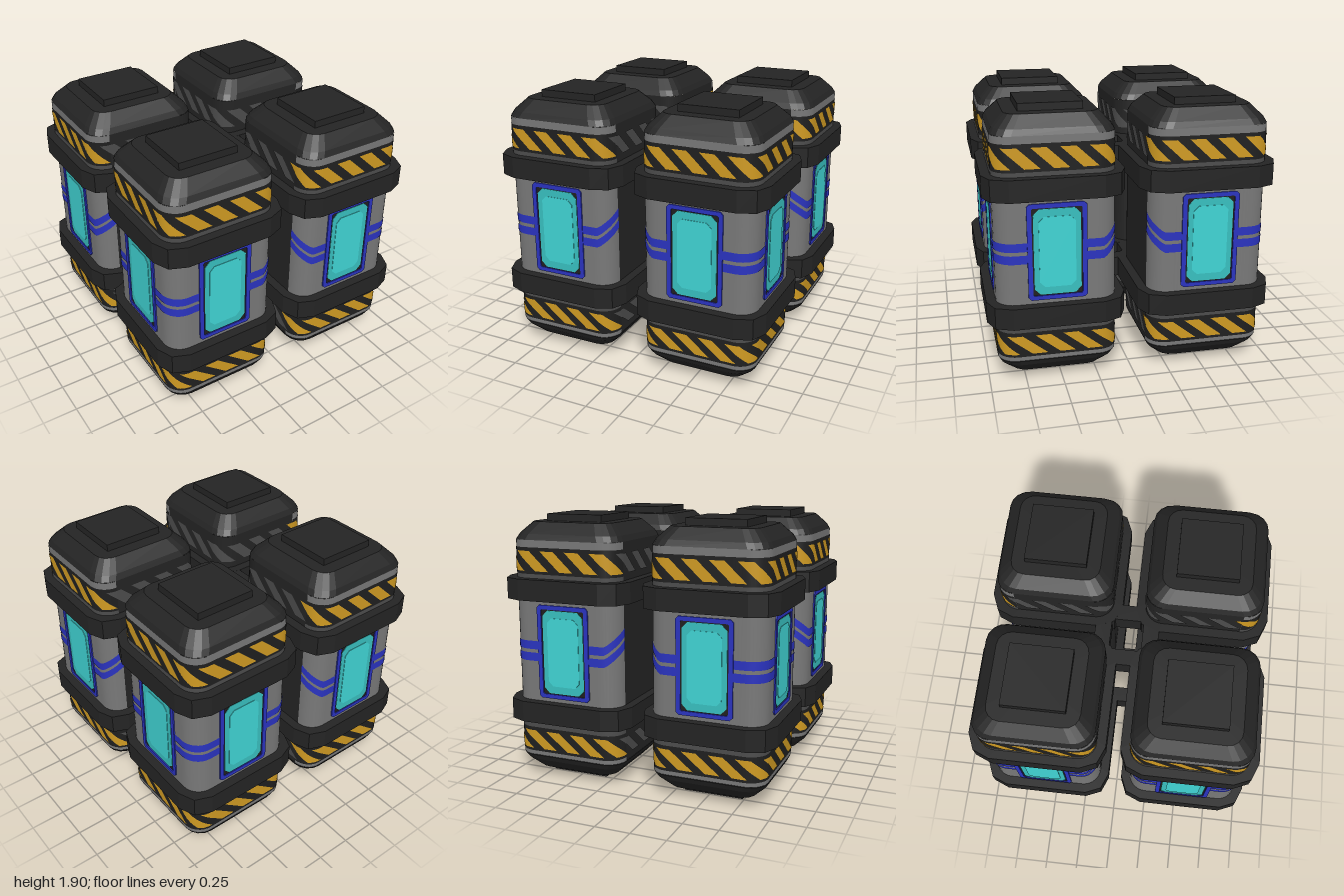
import * as THREE from 'three';

const mat = (name, color) => Object.assign(new THREE.MeshStandardMaterial({ color }), { name });
const grey = mat('bodyGrey', 0x787878);
const dimGrey = mat('dimGrey', 0x4c4c4c);
const black = mat('casingBlack', 0x242424);
const hazardBlack = mat('hazardBlack', 0x1f1f1f);
const yellow = mat('hazardYellow', 0xcf9a22);
const blue = mat('trimBlue', 0x2a33bf);
const cyan = mat('glassCyan', 0x40d4d4);
const teal = mat('glassEdgeTeal', 0x38bfbf);

// Rounded-square canister section: half width, corner radius, lengths along the outline
const H = 0.41, R = 0.13, F = H - R, ARC = R * Math.PI / 2, SIDE = 2 * F + ARC;
const MID = 0.953;
const OUT0 = -(F + ARC), OUT1 = SIDE + F + ARC; // outer faces run between these
const IN1 = 4 * SIDE + OUT0;

// Point on the canister wall, s measured rightwards from the middle of the +z face
function wall(s, y, d) {
  const k = Math.floor(s / SIDE), t = s - k * SIDE, q = k * Math.PI / 2;
  let x, z;
  if (t < F) [x, z] = [t, H + d];
  else if (t < F + ARC) {
    const a = (t - F) / R;
    [x, z] = [F + (R + d) * Math.sin(a), F + (R + d) * Math.cos(a)];
  } else [x, z] = [H + d, F - (t - F - ARC)];
  return [x * Math.cos(q) + z * Math.sin(q), y, z * Math.cos(q) - x * Math.sin(q)];
}

function add(group, name, geo, material) {
  const m = new THREE.Mesh(geo, material);
  m.name = name;
  group.add(m);
  return m;
}

// Grid surface from fn(u, v) with u, v in 0..1
function grid(nu, nv, fn) {
  const pos = [], idx = [], w = nu + 1;
  for (let j = 0; j <= nv; j++) for (let i = 0; i <= nu; i++) pos.push(...fn(i / nu, j / nv));
  for (let j = 0; j < nv; j++) for (let i = 0; i < nu; i++) {
    const a = j * w + i;
    idx.push(a, a + 1, a + w + 1, a, a + w + 1, a + w);
  }
  const g = new THREE.BufferGeometry();
  g.setAttribute('position', new THREE.Float32BufferAttribute(pos, 3));
  g.setIndex(idx);
  g.computeVertexNormals();
  return g;
}

// Wall sheet between two outline positions and two heights
const sheet = (s0, s1, y0, y1, d, lift = () => 0) =>
  grid(Math.ceil((s1 - s0) / 0.025), 1, (u, v) => {
    const s = s0 + u * (s1 - s0);
    return wall(s, y0 + v * (y1 - y0) + lift(s), d);
  });

// Faceted solid from stacked rounded squares [y, half, radius], bottom to top
function loft(levels, n) {
  const rings = levels.map(([y, h, r]) => {
    const pts = [];
    for (let k = 0; k < 4; k++) for (let i = 0; i <= n; i++) {
      const a = (k + i / n) * Math.PI / 2, c = Math.PI / 4 + k * Math.PI / 2;
      const f = (h - r) * Math.SQRT2;
      pts.push([f * Math.sin(c) + r * Math.sin(a), y, f * Math.cos(c) + r * Math.cos(a)]);
    }
    return pts;
  });
  const pos = [], m = rings[0].length;
  const top = rings[rings.length - 1], yT = levels[levels.length - 1][0], yB = levels[0][0];
  for (let i = 0; i < m; i++) {
    const j = (i + 1) % m;
    for (let k = 0; k + 1 < rings.length; k++) {
      const a = rings[k], b = rings[k + 1];
      pos.push(...a[i], ...a[j], ...b[j], ...a[i], ...b[j], ...b[i]);
    }
    pos.push(...top[i], ...top[j], 0, yT, 0, ...rings[0][j], ...rings[0][i], 0, yB, 0);
  }
  const g = new THREE.BufferGeometry();
  g.setAttribute('position', new THREE.Float32BufferAttribute(pos, 3));
  g.computeVertexNormals();
  return g;
}

// Rectangle with cut corners
function cutRect(Type, w, h, c) {
  return new Type([[w - c, -h], [w, c - h], [w, h - c], [w - c, h], [c - w, h], [-w, h - c], [-w, c - h], [c - w, -h]]
    .map(([x, y]) => new THREE.Vector2(x, y)));
}

function plate(w, h, c, depth, hole) {
  const s = cutRect(THREE.Shape, w, h, c);
  if (hole) s.holes.push(cutRect(THREE.Path, ...hole));
  return new THREE.ExtrudeGeometry(s, { depth, bevelEnabled: false });
}

// Window with blue frame and stepped glass
function makeWindow() {
  const g = new THREE.Group();
  g.name = 'window';
  add(g, 'windowFrame', plate(0.2, 0.335, 0.02, 0.009, [0.168, 0.305, 0.008]), blue);
  add(g, 'windowRecess', plate(0.17, 0.307, 0.01, 0.002), hazardBlack);
  add(g, 'glassEdge', plate(0.158, 0.298, 0.04, 0.005), teal);
  add(g, 'glassCentre', plate(0.122, 0.245, 0.035, 0.008), cyan);
  return g;
}

function makeCanister() {
  const g = new THREE.Group();
  g.name = 'canister';
  add(g, 'outerWall', sheet(OUT0, OUT1, 0.175, 1.735, 0), grey);
  add(g, 'innerWall', sheet(OUT1, IN1, 0.175, 1.735, 0), black);

  // End caps and nubs, mirrored top and bottom
  const profile = [[0.782, 0.41, 0.13], [0.822, 0.39, 0.13], [0.902, 0.31, 0.1]];
  const up = profile.map(([y, h, r]) => [MID + y, h, r]);
  const down = profile.map(([y, h, r]) => [MID - y, h, r]).reverse();
  add(g, 'topCap', loft(up, 4), black);
  add(g, 'bottomCap', loft(down, 4), black);
  for (const [name, y] of [['topNub', 1.875], ['bottomNub', 0.03]])
    add(g, name, new THREE.BoxGeometry(0.43, 0.06, 0.43), black).position.y = y;

  // Clamp bands
  for (const y of [0.44, 1.32])
    add(g, 'clampBand', loft([[y, 0.475, 0.165], [y + 0.15, 0.475, 0.165]], 2), black);

  // Hazard bands with slanted stripes; stripes on the inner faces are grey
  for (const [y0, y1, slant] of [[0.205, 0.385, 0.17], [1.5, 1.685, 0.15]]) {
    add(g, 'hazardBand', sheet(OUT0, OUT1, y0, y1, 0.002), hazardBlack);
    const n = 16, pitch = 4 * SIDE / n, a = y0 + 0.02, b = y1 - 0.025;
    for (let i = 0; i < n; i++) {
      const s0 = OUT0 - 0.06 + i * pitch;
      const geo = grid(5, 6, (u, v) => wall(s0 + u * 0.105 + slant * (1 - v), a + v * (b - a), 0.005));
      const c = s0 + 0.05 + slant / 2;
      add(g, 'hazardStripe', geo, c > OUT0 && c < OUT1 ? yellow : dimGrey);
    }
  }
  add(g, 'lowerShadeStrip', sheet(OUT0, OUT1, 0.385, 0.44, 0.002), dimGrey);
  add(g, 'upperShadeStrip', sheet(OUT0, OUT1, 1.47, 1.5, 0.002), dimGrey);

  // Twin blue lines, bending upward at the inner corners
  const bend = 0.32;
  const rise = (e) => Math.min(0.12, Math.max(0, e - bend) * 0.75);
  for (const [y0, y1] of [[0.88, 0.94], [0.965, 1.025]]) {
    add(g, 'cornerLine', sheet(0.19, SIDE - 0.19, y0, y1, 0.004), blue);
    add(g, 'leftLine', sheet(OUT0, -0.19, y0, y1, 0.004, (s) => rise(-s)), blue);
    add(g, 'rightLine', sheet(SIDE + 0.19, OUT1, y0, y1, 0.004, (s) => rise(s - SIDE)), blue);
  }

  // Windows on the two outer faces
  const front = makeWindow();
  front.position.set(0, MID, H);
  const side = makeWindow();
  side.position.set(H, MID, 0);
  side.rotation.y = Math.PI / 2;
  g.add(front, side);
  return g;
}

export function createModel() {
  const model = new THREE.Group();
  model.name = 'canisterCluster';
  for (let k = 0; k < 4; k++) {
    const quarter = new THREE.Group();
    quarter.name = 'quarter';
    quarter.rotation.y = k * Math.PI / 2;
    const can = makeCanister();
    can.position.set(0.525, 0, 0.525);
    quarter.add(can);
    // Bars joining neighbouring clamp bands
    for (const y of [0.515, 1.395])
      add(quarter, 'linkBar', new THREE.BoxGeometry(0.3, 0.149, 0.115), black).position.set(0, y, 0.172);
    model.add(quarter);
  }
  return model;
}
